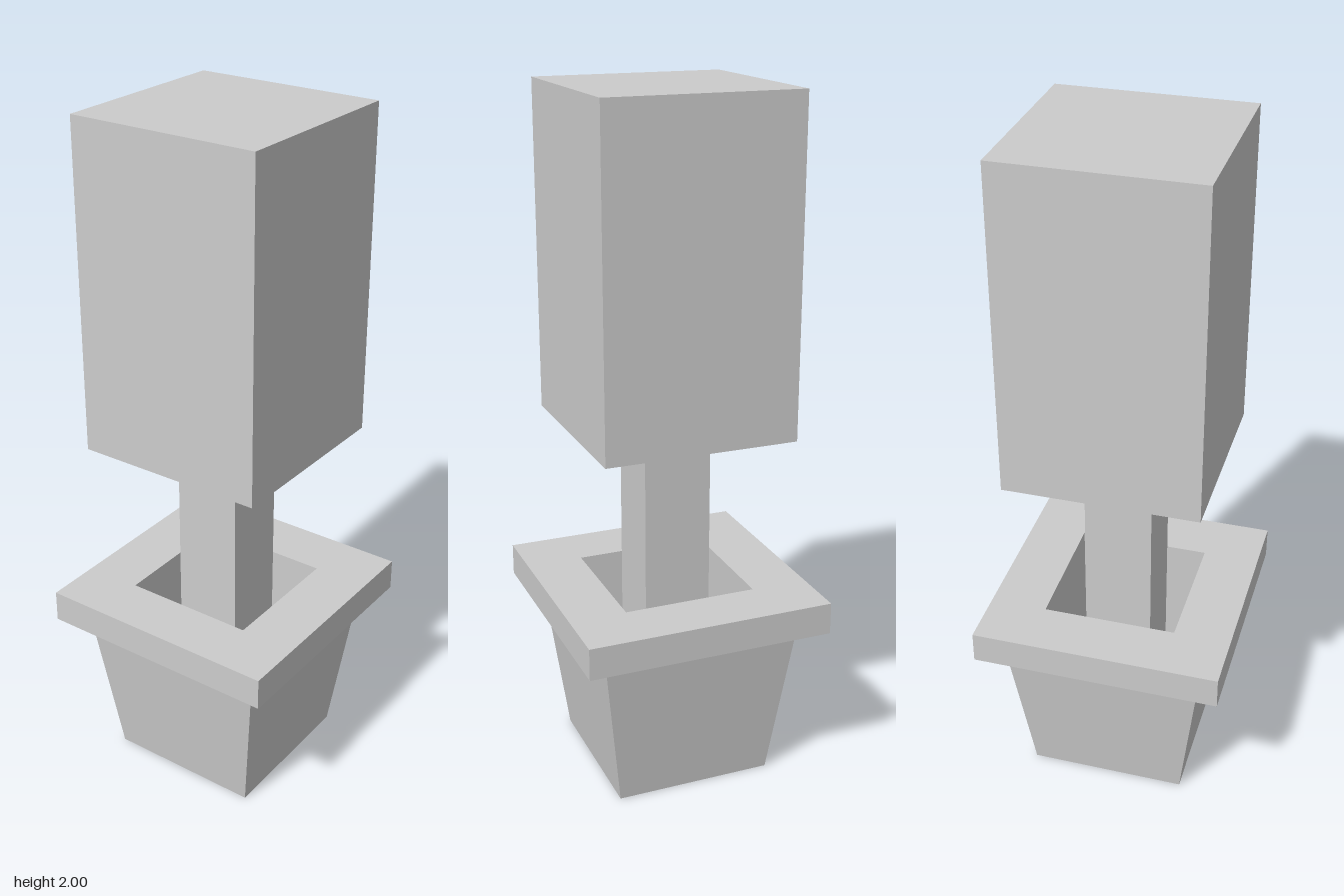
import * as THREE from 'three';

const material = new THREE.MeshStandardMaterial({ color: 0xcccccc, flatShading: true });

// Square block from y0 to y1 with the given half width
function block(name, half, y0, y1) {
  const mesh = new THREE.Mesh(new THREE.BoxGeometry(half * 2, y1 - y0, half * 2), material);
  mesh.position.y = (y0 + y1) / 2;
  mesh.name = name;
  return mesh;
}

// Four-sided turned shape; profile gives [half width, height]
function squareLathe(name, profile) {
  const points = profile.map(([half, y]) => new THREE.Vector2(half * Math.SQRT2, y));
  const mesh = new THREE.Mesh(new THREE.LatheGeometry(points, 4, Math.PI / 4), material);
  mesh.name = name;
  return mesh;
}

export function createModel() {
  const model = new THREE.Group();
  model.name = 'pottedTree';

  // Tapered pot with an overhanging rim and a hollow inside
  model.add(squareLathe('pot', [
    [0, 0], [0.232, 0], [0.294, 0.486], [0.363, 0.486],
    [0.363, 0.58], [0.196, 0.58], [0.196, 0.1], [0, 0.1],
  ]));

  // Trunk standing on the pot's inner floor
  model.add(block('trunk', 0.099, 0.1, 1.055));

  // Tall block of leaves
  model.add(block('foliage', 0.28, 1.053, 2));

  return model;
}
